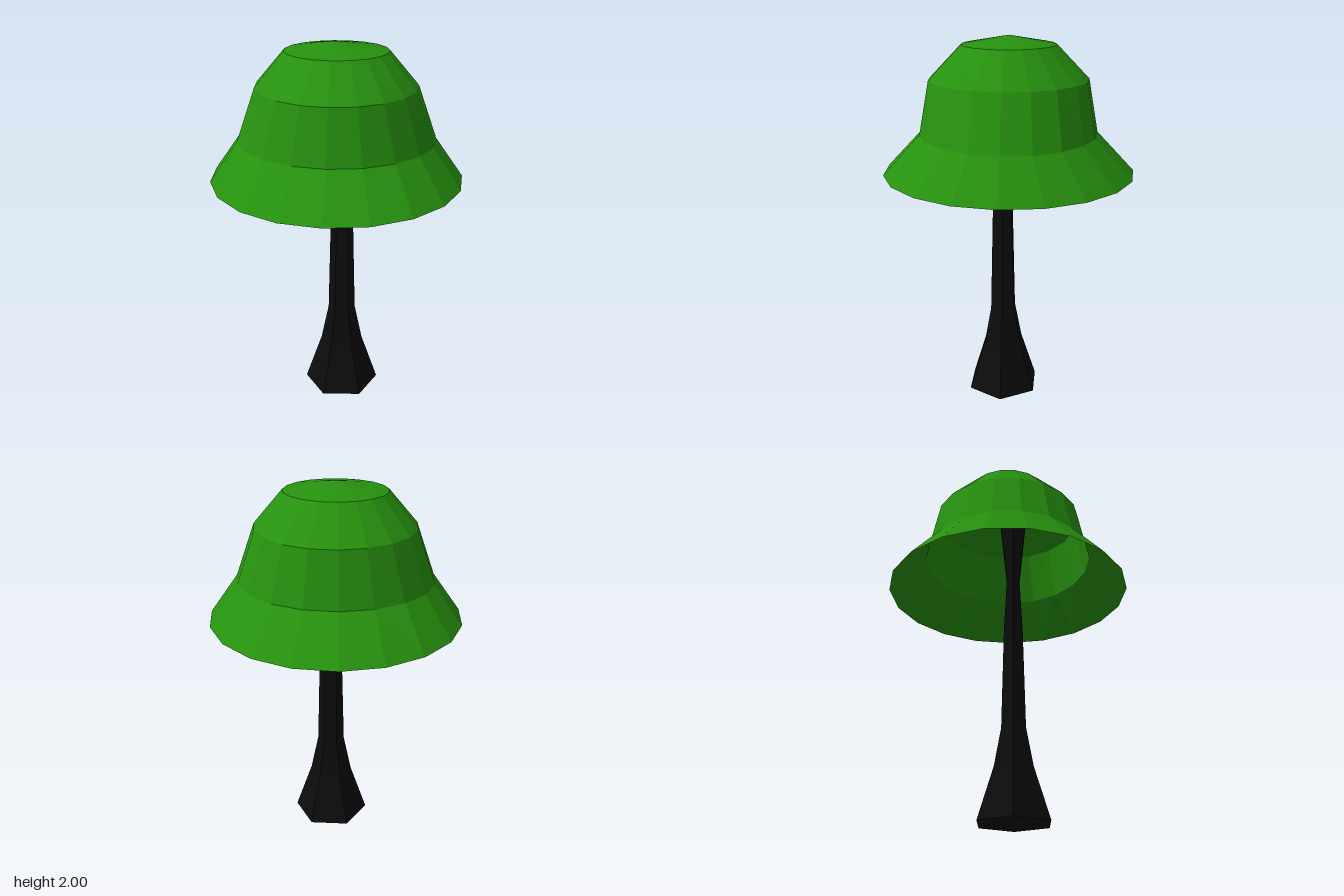
import * as THREE from 'three';

// Faceted solid of revolution; each ring is [y, radiusX, radiusZ], first corner on +x
function ringedShape(name, rings, sides, color, side) {
  const points = rings.map(([y, rx]) => new THREE.Vector2(rx, y));
  const geometry = new THREE.LatheGeometry(points, sides, Math.PI / 2);
  const pos = geometry.attributes.position;
  for (let i = 0; i < pos.count; i++) {
    const [, rx, rz = rx] = rings[i % rings.length];
    if (rx > 0) pos.setZ(i, pos.getZ(i) * rz / rx);
  }
  const material = new THREE.MeshStandardMaterial({ color, flatShading: true, side });
  const mesh = new THREE.Mesh(geometry.toNonIndexed(), material);
  mesh.geometry.computeVertexNormals();
  mesh.name = name;
  return mesh;
}

export function createModel() {
  const model = new THREE.Group();
  model.name = 'tree';

  // Six-sided trunk, flared at the foot and again under the foliage
  const trunk = ringedShape('trunk', [
    [0, 0], [0, 0.21], [0.28, 0.117], [0.49, 0.075], [1.07, 0.06],
    [1.38, 0.042], [1.68, 0.075], [1.9, 0.1], [1.9, 0],
  ], 6, 0x0c0c0c, THREE.FrontSide);
  trunk.position.set(0.025, 0, 0.03);
  model.add(trunk);

  // Hollow foliage bell, open underneath, slightly oval in the middle
  const foliage = ringedShape('foliage', [
    [1.29, 0.67], [1.5, 0.52, 0.47], [1.78, 0.418, 0.417],
    [1.955, 0.267, 0.246], [2, 0],
  ], 19, 0x27920f, THREE.DoubleSide);
  foliage.position.x = -0.004;
  model.add(foliage);

  return model;
}
